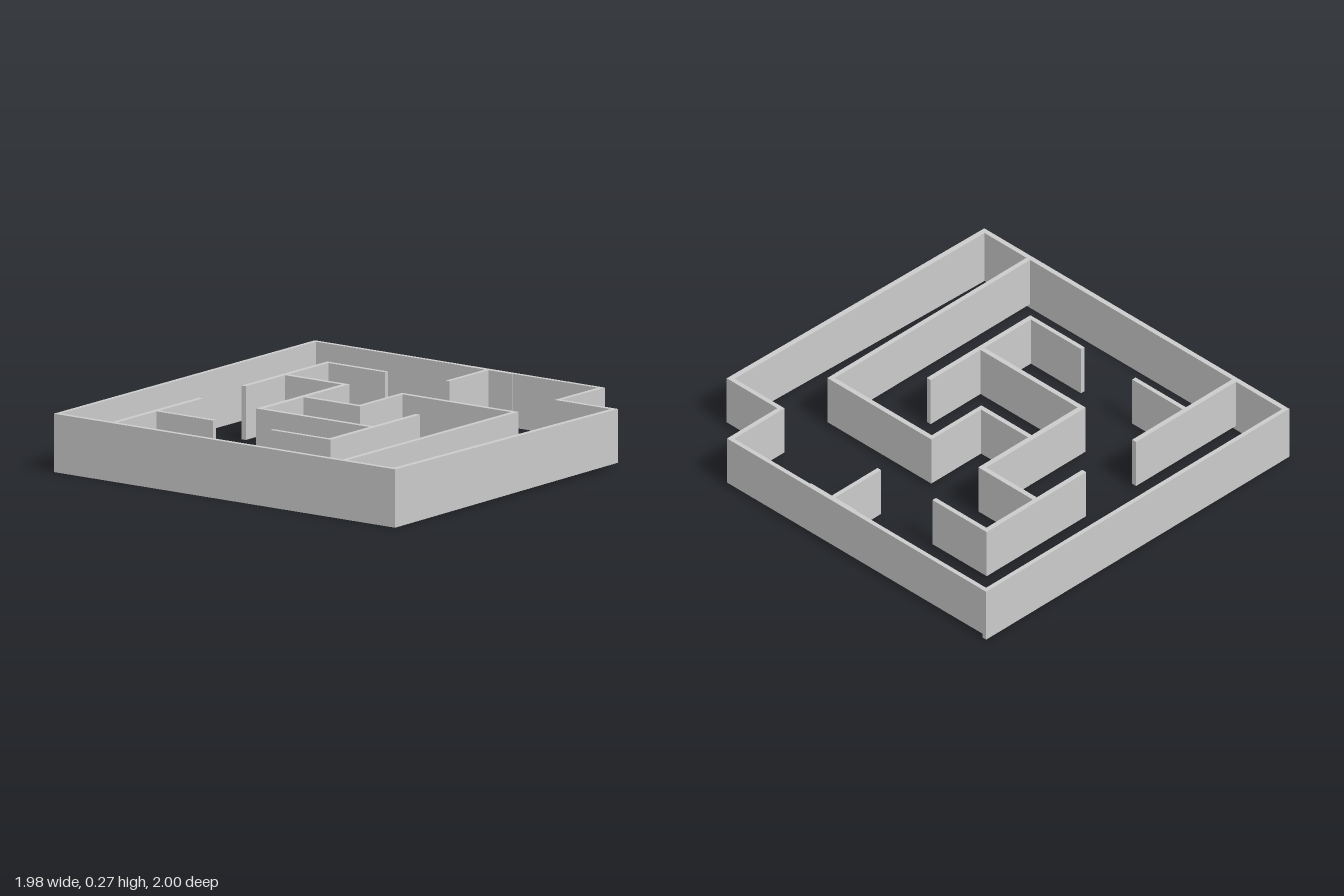
import * as THREE from 'three';

const TOP = 0.274;
const RAISED = 0.022; // most walls start just above the lowest edge

export function createModel() {
  const group = new THREE.Group();
  const material = new THREE.MeshStandardMaterial({ color: 0xcccccc, flatShading: true });

  // Upright wall covering x0..x1, z0..z1 in plan
  function wall(name, x0, x1, z0, z1, bottom = RAISED) {
    const geometry = new THREE.BoxGeometry(x1 - x0, TOP - bottom, z1 - z0);
    geometry.translate((x0 + x1) / 2, (TOP + bottom) / 2, (z0 + z1) / 2);
    const mesh = new THREE.Mesh(geometry, material);
    mesh.name = name;
    group.add(mesh);
    return mesh;
  }

  // Outer walls, with a notch at the front left corner
  wall('backWall', -0.99, 0.985, -1, -0.978, 0);
  wall('rightOuterWall', -0.99, -0.965, -0.978, 0.965, 0);
  wall('leftOuterWall', 0.963, 0.985, -0.978, 0.671);
  wall('notchBackWall', 0.635, 0.963, 0.647, 0.671);
  wall('notchSideWall', 0.635, 0.658, 0.671, 0.99);

  // Front wall: skewed in plan, its lower edge rising towards the notch
  const front = wall('frontWall', -0.99, 0.658, 0.94, 0.967, 0);
  const p = front.geometry.attributes.position;
  for (let i = 0; i < p.count; i++) {
    const t = (p.getX(i) + 0.99) / 1.648;
    p.setZ(i, p.getZ(i) + 0.03 * t);
    if (p.getY(i) < 0.1) p.setY(i, RAISED * t);
  }
  front.geometry.computeVertexNormals();

  // Slight thickening of the outer wall where the spur meets it
  wall('spurPad', 0.958, 0.965, -0.14, 0.155);

  // Inner maze walls: x0, x1, z0, z1
  const inner = {
    backRightWall: [-0.965, -0.315, -0.68, -0.655],
    backRightStub: [-0.665, -0.643, -0.655, -0.33],
    backLeftWall: [0.01, 0.658, -0.68, -0.655],
    backLeftStub: [0.635, 0.658, -0.655, -0.33],
    backLink: [0.307, 0.332, -0.655, -0.303],
    centreBackWall: [-0.34, 0.307, -0.33, -0.303],
    centreRightWall: [-0.34, -0.315, -0.303, 0.323],
    lowerCrossWall: [-0.665, 0.01, 0.323, 0.348],
    rightStub: [-0.665, -0.643, 0, 0.323],
    centreDivider: [-0.016, 0.008, -0.303, 0.022],
    centreCrossWall: [0.008, 0.307, 0, 0.022],
    centreLeftWall: [0.307, 0.332, 0, 0.671],
    frontCorridorWall: [-0.965, 0.307, 0.647, 0.671],
    leftSpur: [0.66, 0.963, 0, 0.022],
  };
  for (const [name, box] of Object.entries(inner)) wall(name, ...box);

  return group;
}
